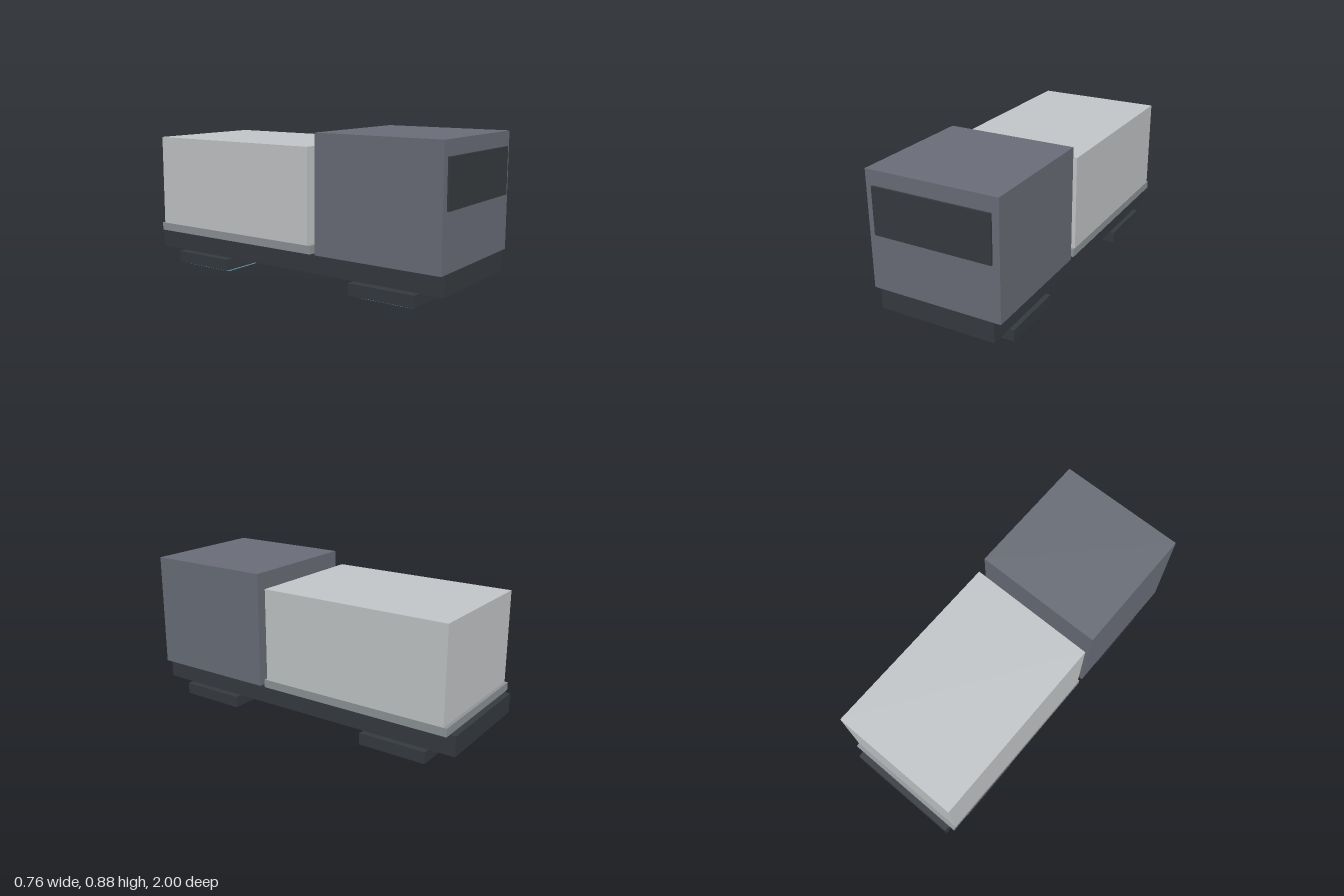
import * as THREE from 'three';

const paint = (name, color) => {
  const m = new THREE.MeshStandardMaterial({ color });
  m.name = name;
  return m;
};

export function createModel() {
  const dark = paint('charcoal', 0x363b40);
  const cabGrey = paint('slate grey', 0x6a6e78);
  const deckGrey = paint('mid grey', 0x8e9498);
  const boxGrey = paint('light grey', 0xc4c7c9);
  const teal = paint('teal glow', 0x78b6c6);

  const model = new THREE.Group();
  model.name = 'hoverTruck';

  // Box given by half width and its y and z extents
  const block = (name, material, halfWidth, y0, y1, z0, z1, parent = model) => {
    const mesh = new THREE.Mesh(new THREE.BoxGeometry(halfWidth * 2, y1 - y0, z1 - z0), material);
    mesh.position.set(0, (y0 + y1) / 2, (z0 + z1) / 2);
    mesh.name = name;
    parent.add(mesh);
  };

  block('chassis', dark, 0.341, 0.098, 0.213, -1, 0.988);

  // Cab with its windscreen
  block('cab', cabGrey, 0.38, 0.213, 0.875, 0.226, 0.988);
  block('windscreen', dark, 0.341, 0.527, 0.792, 0.98, 1);

  // Cargo deck and container
  block('cargoDeck', deckGrey, 0.38, 0.213, 0.26, -0.966, 0.194);
  block('cargoBox', boxGrey, 0.379, 0.26, 0.797, -0.947, 0.175);

  // Hover pads, front and rear
  for (const [name, z] of [['frontHoverPad', 0.632], ['rearHoverPad', -0.642]]) {
    const pad = new THREE.Group();
    pad.name = name;
    pad.position.z = z;
    block('padHousing', dark, 0.361, 0.021, 0.088, -0.199, 0.199, pad);
    block('padGlow', teal, 0.304, 0, 0.021, -0.158, 0.158, pad);
    model.add(pad);
  }
  return model;
}
